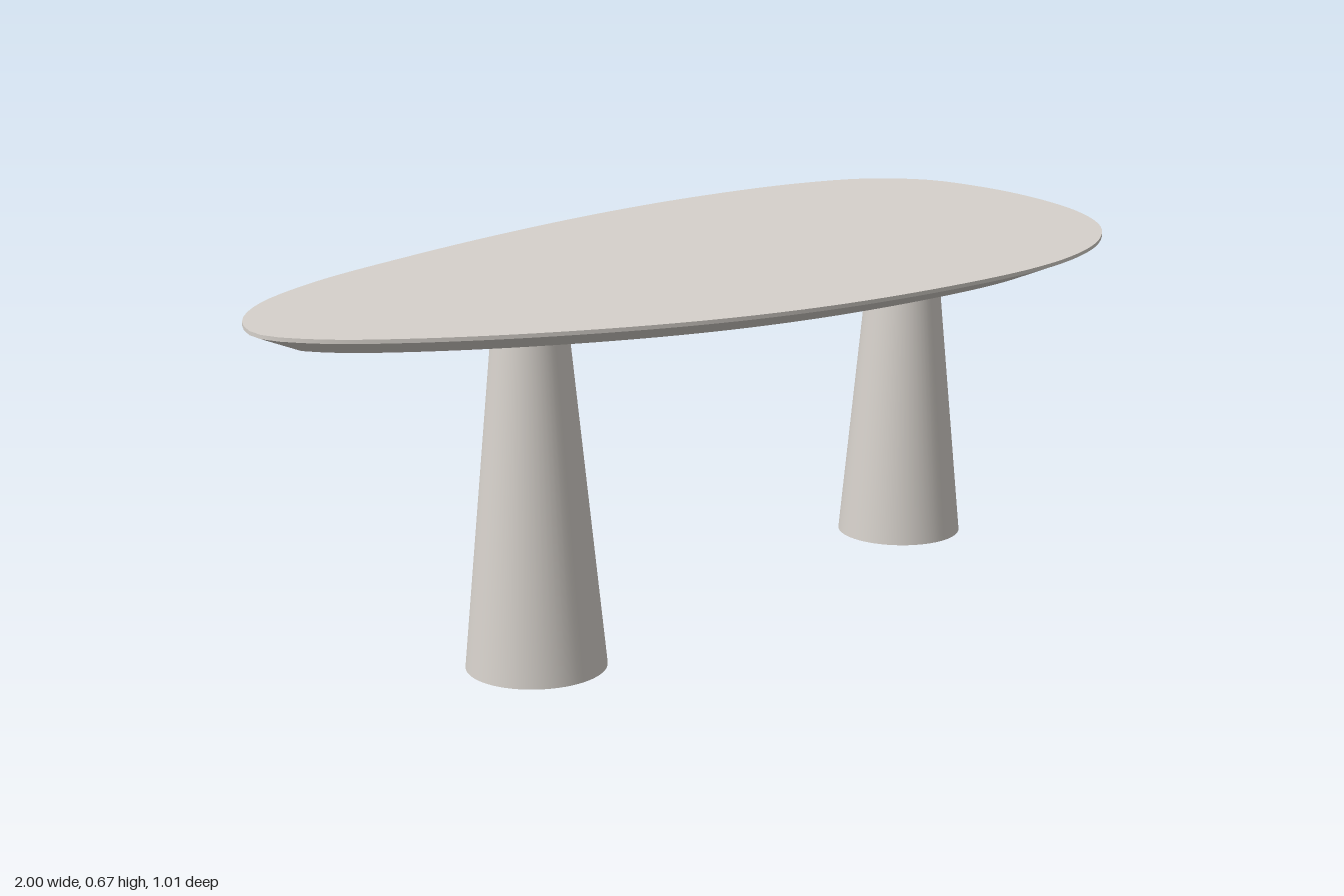
import * as THREE from 'three';

const TOP = 0.668, RIM = 0.661, UNDER = 0.628, INSET = 0.08, SEGMENTS = 128;

// Outline of the tabletop as x, z pairs, clockwise seen from above
const OUTLINE = [
  [-1, -0.14], [-0.96, -0.235], [-0.85, -0.33], [-0.66, -0.405], [-0.4, -0.455], [-0.1, -0.492],
  [0.22, -0.507], [0.5, -0.49], [0.76, -0.438], [0.92, -0.36], [0.99, -0.25], [0.99, -0.12],
  [0.95, 0.04], [0.86, 0.22], [0.74, 0.355], [0.6, 0.44], [0.45, 0.487], [0.27, 0.503],
  [0, 0.475], [-0.25, 0.417], [-0.47, 0.33], [-0.7, 0.195], [-0.87, 0.06], [-0.96, -0.04],
];

function tabletopGeometry() {
  const curve = new THREE.CatmullRomCurve3(OUTLINE.map(([x, z]) => new THREE.Vector3(x, 0, z)), true);
  const ring = (y, inset) => Array.from({ length: SEGMENTS }, (_, i) => {
    const p = curve.getPointAt(i / SEGMENTS), t = curve.getTangentAt(i / SEGMENTS);
    return [p.x - t.z * inset, y, p.z + t.x * inset];
  });
  const positions = [], indices = [];

  // Each band has its own vertices, so the edges between bands stay sharp
  const band = (upper, lower) => {
    const base = positions.length / 3;
    positions.push(...upper.flat(), ...lower.flat());
    for (let i = 0; i < SEGMENTS; i++) {
      const a = base + i, b = base + (i + 1) % SEGMENTS;
      indices.push(a + SEGMENTS, a, b, a + SEGMENTS, b, b + SEGMENTS);
    }
  };
  const cap = (points, up) => {
    const base = positions.length / 3;
    positions.push(...points.flat(), 0.1, points[0][1], 0);
    for (let i = 0; i < SEGMENTS; i++) {
      const a = base + i, b = base + (i + 1) % SEGMENTS, c = base + SEGMENTS;
      indices.push(c, up ? b : a, up ? a : b);
    }
  };

  const top = ring(TOP, 0), rim = ring(RIM, 0), under = ring(UNDER, INSET);
  cap(top, true);
  band(top, rim);
  band(rim, under);
  cap(under, false);

  const geometry = new THREE.BufferGeometry();
  geometry.setAttribute('position', new THREE.Float32BufferAttribute(positions, 3));
  geometry.setIndex(indices);
  geometry.computeVertexNormals();
  return geometry;
}

export function createModel() {
  const model = new THREE.Group();
  model.name = 'table';
  const stone = new THREE.MeshStandardMaterial({ color: 0xd6d1cb });
  stone.name = 'warm grey';

  // Asymmetric top with a thin rim and bevelled underside
  const tabletop = new THREE.Mesh(tabletopGeometry(), stone);
  tabletop.name = 'tabletop';
  model.add(tabletop);

  // Two tapered round legs
  const legGeometry = new THREE.CylinderGeometry(0.066, 0.127, UNDER, 64);
  for (const [name, x] of [['rightLeg', -0.515], ['leftLeg', 0.58]]) {
    const leg = new THREE.Mesh(legGeometry, stone);
    leg.name = name;
    leg.position.set(x, UNDER / 2, -0.012);
    model.add(leg);
  }
  return model;
}
